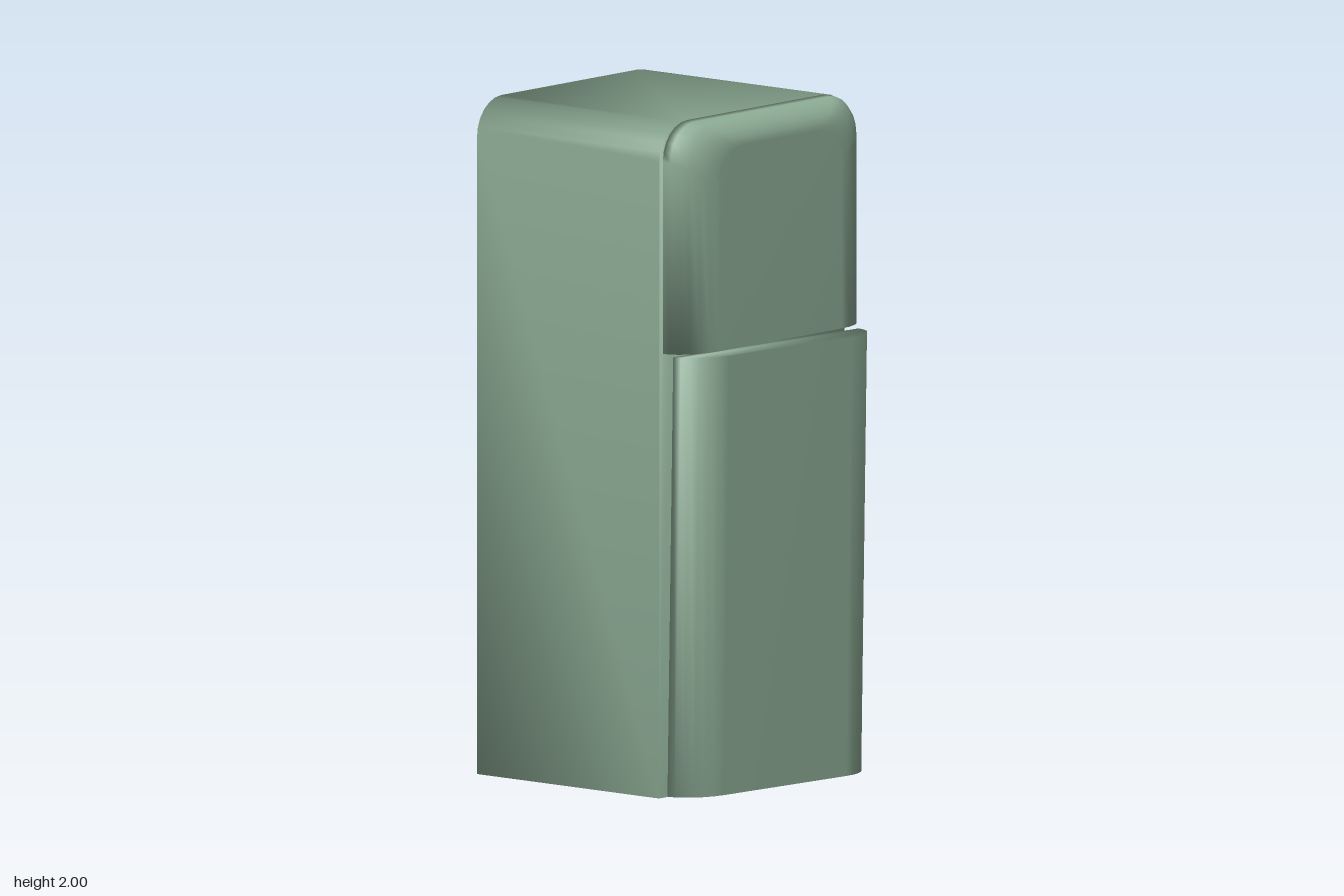
import * as THREE from 'three';

const material = new THREE.MeshStandardMaterial({ color: 0x8fae97 });

// Outline in the xy plane, counter-clockwise: flat bottom, two upper corners of radius r
function outline(halfW, bottom, top, r, z) {
  const pts = [[-halfW, bottom, z], [halfW, bottom, z]];
  const steps = r > 0 ? 6 : 0;
  for (const side of [1, -1]) {
    for (let i = 0; i <= steps; i++) {
      const t = steps ? (i / steps) * Math.PI / 2 : 0;
      const a = side > 0 ? t : Math.PI / 2 - t;
      pts.push([side * (halfW - r + r * Math.cos(a)), top - r + r * Math.sin(a), z]);
    }
  }
  return pts;
}

// Skin a row of equal outlines from back to front and close both ends
function loft(rings) {
  const n = rings[0].length;
  const index = [];
  for (let k = 0; k < rings.length - 1; k++) {
    for (let i = 0; i < n; i++) {
      const a = k * n + i, b = k * n + (i + 1) % n;
      index.push(a, b, b + n, a, b + n, a + n);
    }
  }
  const f = (rings.length - 1) * n;
  for (let i = 1; i < n - 1; i++) {
    index.push(0, i + 1, i);
    index.push(f, f + i, f + i + 1);
  }
  const g = new THREE.BufferGeometry();
  g.setAttribute('position', new THREE.Float32BufferAttribute(rings.flat(2), 3));
  g.setIndex(index);
  g.computeVertexNormals();
  return g;
}

// Door whose front edges curve back; a radius also rounds the upper corners
function door(halfW, height, r) {
  const rings = [], depth = 0.095, steps = 6;
  for (let i = 0; i <= steps; i++) {
    const t = (i / steps) * Math.PI / 2;
    const ease = 1 - Math.cos(t);
    const topInset = r > 0 ? 0.08 * ease : 0;
    rings.push(outline(halfW - 0.14 * ease, 0, height - topInset, r, depth * Math.sin(t)));
  }
  return loft(rings);
}

function part(name, geometry, x, y, z) {
  const mesh = new THREE.Mesh(geometry, material);
  mesh.name = name;
  mesh.position.set(x, y, z);
  return mesh;
}

export function createModel() {
  const model = new THREE.Group();
  model.name = 'refrigerator';

  // Cabinet with rounded upper edges
  const W = 0.416, D = 0.347, R = 0.11;
  const cabinet = part('cabinet', loft([
    outline(W, 0, 1.985, R, -D),
    outline(W, 0, 1.985, R, D),
  ]), 0, 0.015, 0);

  // Short upper door
  const upperDoor = part('freezerDoor', door(W, 0.675, R), 0, 1.325, 0.361);

  // Tall lower door, hanging slightly crooked
  const lowerDoor = part('lowerDoor', door(W, 1.29, 0), 0.021, 0.011, 0.361);
  lowerDoor.rotation.z = -0.02;

  model.add(cabinet, upperDoor, lowerDoor);

  // The whole appliance stands turned
  model.rotation.y = 0.593;
  model.position.set(-0.025, 0, -0.03);

  const root = new THREE.Group();
  root.add(model);
  return root;
}
